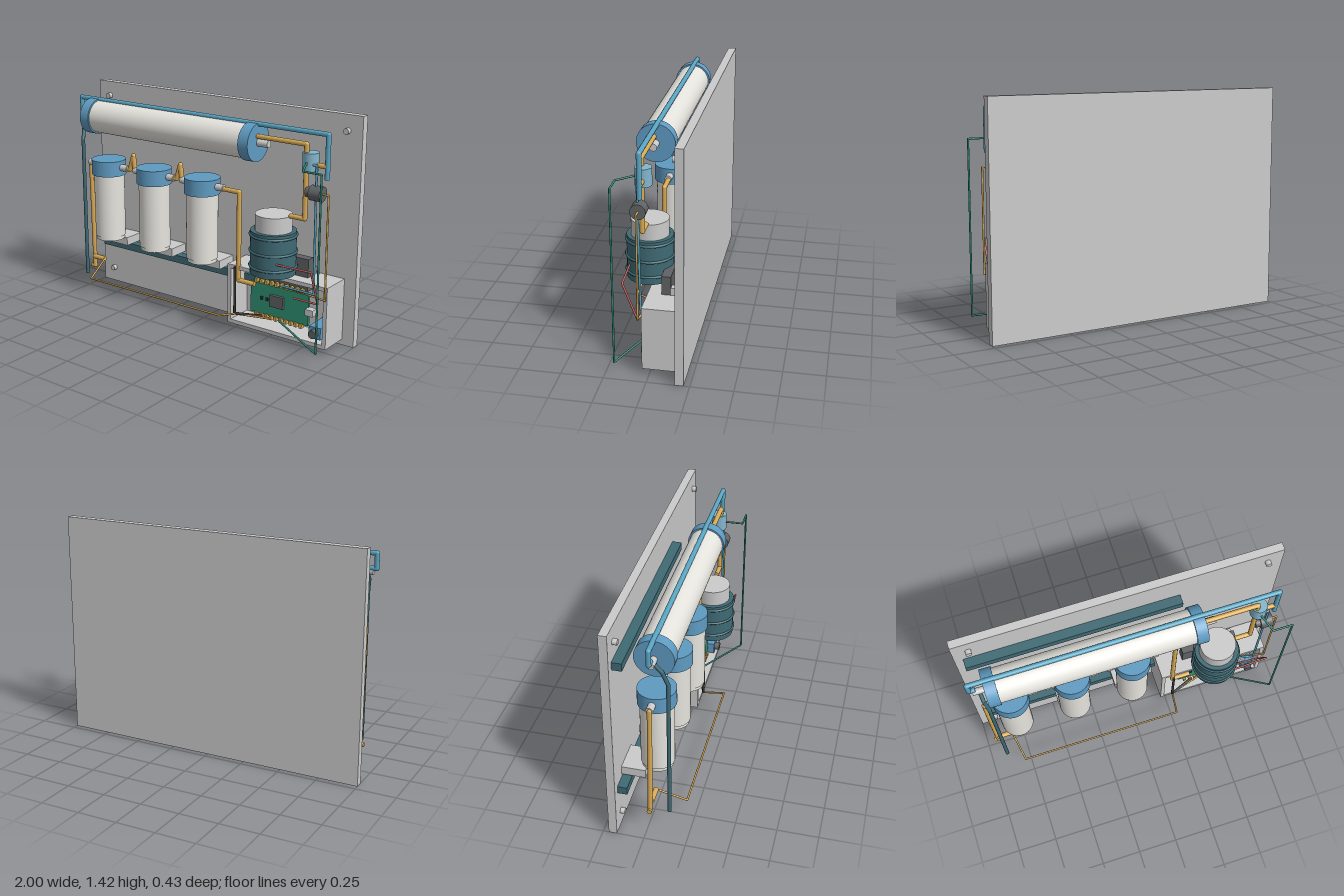
import * as THREE from 'three';

const C = { grey: 0xcccccc, white: 0xe6e4de, blue: 0x5f9bc2, pipeBlue: 0x5aa6c4, teal: 0x3f6a74, gold: 0xd9ab55,
  dark: 0x606365, black: 0x333333, green: 0x2f9474, wireGreen: 0x2f8a78, red: 0xcc6a66, valve: 0x84b6cc };
const mats = {};
const mat = (c) => (mats[c] ??= new THREE.MeshStandardMaterial({ color: c }));

export function createModel() {
  const model = new THREE.Group();

  const add = (name, geo, color, x = 0, y = 0, z = 0, parent = model) => {
    const m = new THREE.Mesh(geo, mat(color));
    m.name = name;
    m.position.set(x, y, z);
    parent.add(m);
    return m;
  };
  // Box given by its limits on each axis
  const box = (name, color, [x0, x1], [y0, y1], [z0, z1]) =>
    add(name, new THREE.BoxGeometry(x1 - x0, y1 - y0, z1 - z0), color, (x0 + x1) / 2, (y0 + y1) / 2, (z0 + z1) / 2);
  // Upright cylinder from y0 to y1
  const upright = (name, color, r, x, y0, y1, z, parent) =>
    add(name, new THREE.CylinderGeometry(r, r, y1 - y0, 40), color, x, (y0 + y1) / 2, z, parent);
  // Cylinder lying along x
  const lying = (name, color, r, x0, x1, y, z, parent) => {
    const m = add(name, new THREE.CylinderGeometry(r, r, x1 - x0, 40), color, (x0 + x1) / 2, y, z, parent);
    m.rotation.z = Math.PI / 2;
    return m;
  };
  // Cylinder facing the front
  const facing = (name, color, r, x, y, z0, z1) => {
    const m = add(name, new THREE.CylinderGeometry(r, r, z1 - z0, 24), color, x, y, (z0 + z1) / 2);
    m.rotation.x = Math.PI / 2;
    return m;
  };
  // Pipe or wire of straight runs with ball joints
  const run = (name, color, r, points) => {
    const g = new THREE.Group();
    g.name = name;
    const p = points.map((a) => new THREE.Vector3(...a));
    for (let i = 0; i < p.length - 1; i++) {
      const d = p[i + 1].clone().sub(p[i]);
      const c = p[i].clone().add(p[i + 1]).multiplyScalar(0.5);
      const m = add(name + 'Run', new THREE.CylinderGeometry(r, r, d.length(), 12), color, c.x, c.y, c.z, g);
      m.quaternion.setFromUnitVectors(new THREE.Vector3(0, 1, 0), d.normalize());
      if (i > 0) add(name + 'Bend', new THREE.SphereGeometry(r, 12, 8), color, p[i].x, p[i].y, p[i].z, g);
    }
    model.add(g);
  };

  // Mounting panel, screws and rails
  box('backPanel', C.grey, [-1, 1], [0, 1.42], [-0.215, -0.165]);
  for (const x of [-0.905, 0.905])
    for (const y of [0.1, 1.325]) facing('panelScrew', C.grey, 0.018, x, y, -0.17, -0.137);
  box('upperRail', C.teal, [-0.95, 0.37], [1.17, 1.22], [-0.165, -0.107]);
  box('lowerRail', C.teal, [-0.95, 0.37], [0.28, 0.33], [-0.165, -0.107]);

  // Long horizontal vessel
  lying('vesselBody', C.white, 0.105, -0.82, 0.38, 1.23, 0.05);
  lying('vesselLeftCap', C.blue, 0.115, -0.88, -0.81, 1.23, 0.05);
  lying('vesselRightCap', C.blue, 0.115, 0.365, 0.435, 1.23, 0.05);
  lying('vesselInlet', C.grey, 0.02, -0.95, -0.87, 1.23, 0.05);
  lying('vesselOutlet', C.grey, 0.022, 0.43, 0.51, 1.23, 0.05);

  // Three filter housings on brackets
  const filterX = [-0.76, -0.375, 0.01];
  for (const x of filterX) {
    const g = new THREE.Group();
    g.name = 'filter';
    model.add(g);
    upright('filterCap', C.blue, 0.113, x, 0.85, 0.95, 0.03, g);
    upright('filterBody', C.white, 0.1, x, 0.43, 0.85, 0.03, g);
    upright('filterFoot', C.white, 0.093, x, 0.405, 0.43, 0.03, g);
    for (const s of [-1, 1]) {
      const a = x + s * 0.105, b = x + s * 0.165;
      lying('filterFitting', C.grey, 0.022, Math.min(a, b), Math.max(a, b), 0.905, 0.03, g);
    }
    box('filterBracket', C.grey, [x - 0.1, x + 0.1], [0.35, 0.405], [-0.165, -0.02]);
  }
  for (const x of filterX.slice(0, 2))
    run('filterLink', C.gold, 0.016, [[x + 0.16, 0.905, 0.03], [x + 0.185, 0.905, 0.03], [x + 0.215, 1.0, 0.03],
      [x + 0.225, 0.905, 0.03], [x + 0.235, 0.905, 0.03]]);

  // Banded tank
  upright('tankBody', C.teal, 0.138, 0.56, 0.458, 0.725, 0.06);
  upright('tankTop', C.grey, 0.112, 0.56, 0.72, 0.825, 0.06);
  for (const y of [0.505, 0.6, 0.7])
    add('tankBand', new THREE.TorusGeometry(0.14, 0.008, 8, 48), C.teal, 0.56, y, 0.06).rotation.x = Math.PI / 2;

  // Open control box
  const rect = (P, x0, y0, x1, y1) => new P([[x0, y0], [x1, y0], [x1, y1], [x0, y1]].map((a) => new THREE.Vector2(...a)));
  const ring = (i) => {
    const s = rect(THREE.Shape, 0.215, 0.04, 0.925, 0.43);
    s.holes.push(rect(THREE.Path, 0.215 + i, 0.04 + i, 0.925 - i, 0.43 - i));
    return s;
  };
  add('controlBoxWalls', new THREE.ExtrudeGeometry(ring(0.025), { depth: 0.2, bevelEnabled: false }), C.grey, 0, 0, -0.16);
  box('controlBoxBack', C.grey, [0.22, 0.92], [0.045, 0.425], [-0.16, -0.14]);
  box('powerUnit', C.dark, [0.38, 0.745], [0.34, 0.545], [-0.095, -0.04]);
  box('powerUnitTab', C.grey, [0.70, 0.745], [0.40, 0.475], [-0.14, -0.095]);

  // Circuit board
  box('circuitBoard', C.green, [0.355, 0.77], [0.135, 0.34], [-0.03, -0.012]);
  box('mainChip', C.dark, [0.505, 0.6], [0.205, 0.28], [-0.012, 0.008]);
  for (const x of [0.44, 0.478]) box('smallChip', C.black, [x - 0.008, x + 0.008], [0.23, 0.25], [-0.012, -0.002]);
  box('boardConnector', C.grey, [0.765, 0.82], [0.215, 0.255], [-0.03, 0.02]);
  for (let i = 0; i < 10; i++) {
    const x = 0.4 + i * 0.036;
    box('topTerminal', C.gold, [x - 0.009, x + 0.009], [0.335, 0.362], [-0.03, 0.0]);
    box('bottomTerminal', C.gold, [x - 0.009, x + 0.009], [0.112, 0.14], [-0.03, 0.0]);
  }

  // Rotary switch
  box('switchBase', C.blue, [0.8, 0.88], [0.085, 0.16], [-0.14, 0.025]);
  facing('switchKnob', C.dark, 0.026, 0.84, 0.122, 0.02, 0.058);

  // Valve and pressure sensor
  upright('valveBody', C.valve, 0.048, 0.79, 1.12, 1.225, 0.045);
  lying('sensorBody', C.dark, 0.045, 0.81, 0.885, 0.995, 0.06);
  lying('sensorCollar', C.dark, 0.03, 0.78, 0.815, 0.995, 0.06);

  // Water pipes
  run('bluePipe', C.pipeBlue, 0.015, [[-0.93, 1.25, 0.045], [-0.967, 1.25, 0.045], [-0.967, 1.34, 0.045], [0.9, 1.34, 0.045], [0.9, 1.08, 0.045]]);
  run('tealPipe', C.teal, 0.012, [[-0.91, 1.23, 0.05], [-0.905, 1.17, 0.1], [-0.89, 1.08, 0.13], [-0.89, 0.15, 0.13]]);
  run('feedPipe', C.gold, 0.015, [[-0.945, 0.165, 0.02], [-0.92, 0.165, 0.02], [-0.92, 0.905, 0.03], [-0.88, 0.905, 0.03]]);
  run('feedBranch', C.gold, 0.016, [[-0.92, 0.235, 0.03], [-0.82, 0.235, 0.03]]);
  run('filterOutlet', C.gold, 0.015, [[0.16, 0.9, 0.03], [0.29, 0.9, 0.03], [0.29, 0.335, 0.03], [0.41, 0.335, 0.03]]);
  run('tankPipe', C.gold, 0.015, [[0.43, 1.27, 0.06], [0.77, 1.27, 0.06], [0.77, 0.83, 0.06], [0.67, 0.83, 0.06]]);
  run('valveOutlet', C.gold, 0.015, [[0.82, 1.155, 0.045], [0.9, 1.155, 0.045]]);

  // Thin tubes and cables
  run('branchTube', C.gold, 0.006, [[-0.82, 0.235, 0.035], [-0.785, 0.155, 0.21], [0.27, 0.155, 0.21], [0.29, 0.12, 0.06], [0.5, 0.12, 0.0]]);
  run('blackCable', C.black, 0.008, [[0.287, 0.43, 0.065], [0.287, 0.125, 0.065], [0.45, 0.125, 0.0]]);
  run('sensorCable', C.gold, 0.006, [[0.88, 0.995, 0.06], [0.922, 0.995, 0.06], [0.922, 0.36, 0.06], [0.62, 0.355, 0.0]]);
  run('blueCable', C.pipeBlue, 0.007, [[0.79, 1.16, 0.08], [0.845, 1.16, 0.07], [0.845, 0.38, 0.06], [0.58, 0.355, 0.0]]);
  run('greenCable', C.wireGreen, 0.006, [[0.79, 1.17, 0.09], [0.83, 1.15, 0.195], [0.95, 1.15, 0.195], [0.95, 0.08, 0.195], [0.57, 0.125, 0.0]]);
  run('redCable', C.red, 0.006, [[0.65, 0.553, 0.165], [0.88, 0.553, 0.155], [0.88, 0.33, 0.07], [0.71, 0.325, 0.06]]);

  return model;
}
